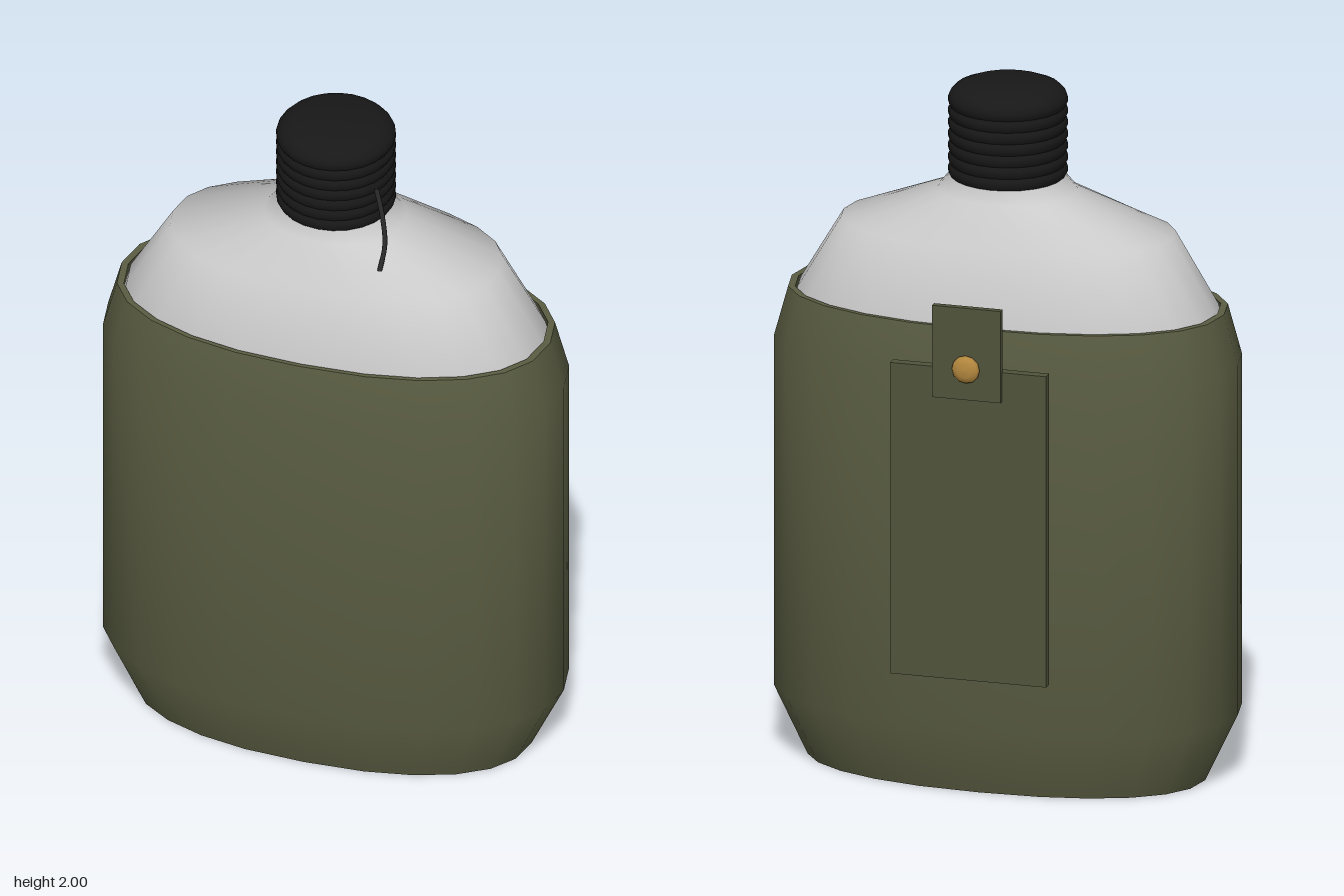
import * as THREE from 'three';
import { toCreasedNormals } from 'three/addons/utils/BufferGeometryUtils.js';

const SIDES = 24;
const CENTRE_Z = 0.035;

const mat = (color, side = THREE.FrontSide) => new THREE.MeshStandardMaterial({ color, side });

// Skin through stacked rounded ovals; each level is [y, half width, half depth, exponent]
function ovalLoft(levels) {
  const point = ([y, w, d, e = 0.88], j) => {
    const a = (j % SIDES) / SIDES * Math.PI * 2;
    const bend = (v) => Math.abs(v) < 1e-6 ? 0 : Math.sign(v) * Math.abs(v) ** e;
    return [w * bend(Math.cos(a)), y, d * bend(Math.sin(a))];
  };
  const pos = [];
  for (let i = 0; i < levels.length - 1; i++) {
    const lo = levels[i], hi = levels[i + 1];
    for (let j = 0; j < SIDES; j++) {
      const a = point(lo, j), b = point(hi, j), c = point(hi, j + 1), d = point(lo, j + 1);
      if (hi[1] > 0) pos.push(...a, ...b, ...c);
      if (lo[1] > 0) pos.push(...a, ...c, ...d);
    }
  }
  const g = new THREE.BufferGeometry();
  g.setAttribute('position', new THREE.Float32BufferAttribute(pos, 3));
  return toCreasedNormals(g, 0.85);
}

export function createModel() {
  const model = new THREE.Group();
  const add = (name, geometry, material, x = 0, y = 0, z = 0) => {
    const mesh = new THREE.Mesh(geometry, material);
    mesh.name = name;
    mesh.position.set(x, y, z);
    model.add(mesh);
    return mesh;
  };
  const cloth = mat(0x5a5d42, THREE.DoubleSide);
  const strap = mat(0x50543b);
  const black = mat(0x181818);

  // Fabric sleeve with a thin turned-in rim
  add('sleeve', ovalLoft([
    [0, 0, 0], [0, 0.577, 0.29], [0.2, 0.672, 0.356], [1.23, 0.672, 0.356],
    [1.375, 0.632, 0.33], [1.375, 0.612, 0.317], [1.28, 0.635, 0.33],
  ]), cloth, 0, 0, CENTRE_Z);

  // Metal flask, its shoulders narrowing to a round neck
  add('flask', ovalLoft([
    [1.27, 0.632, 0.328], [1.375, 0.605, 0.312], [1.585, 0.48, 0.258],
    [1.69, 0.2, 0.165, 0.95], [1.735, 0.162, 0.145, 1], [1.8, 0.145, 0.14, 1], [1.8, 0, 0],
  ]), mat(0xcccccc), 0, 0, CENTRE_Z);

  // Ribbed screw cap with a bevelled top
  const RIBS = 7, pitch = 0.034;
  const profile = [[0, 1.73], [0.155, 1.73]];
  for (let i = 0; i < RIBS; i++) {
    const y = 1.732 + i * pitch;
    profile.push([0.162, y], [0.168, y + pitch * 0.3], [0.168, y + pitch * 0.7]);
  }
  profile.push([0.163, 1.972], [0.148, 1.988], [0.118, 2], [0, 2]);
  const capGeometry = new THREE.LatheGeometry(profile.map(([r, y]) => new THREE.Vector2(r, y)), SIDES);
  add('cap', toCreasedNormals(capGeometry, 0.7), black, 0, 0, CENTRE_Z);

  // Retaining cord hanging from the cap
  const cord = new THREE.CatmullRomCurve3([
    [0.155, 1.87, 0.145], [0.178, 1.79, 0.16], [0.192, 1.71, 0.18], [0.187, 1.64, 0.212],
  ].map((p) => new THREE.Vector3(...p)));
  add('cord', new THREE.TubeGeometry(cord, 16, 0.007, 6), mat(0x2a2a2a, THREE.DoubleSide));

  // Flat panel, closing tab and brass stud on the back
  add('backPanel', new THREE.BoxGeometry(0.456, 0.915, 0.03), strap, 0, 0.8175, -0.339);
  add('tab', new THREE.BoxGeometry(0.2, 0.27, 0.02), strap, 0, 1.325, -0.36);
  const studProfile = [[0.034, 0], [0.041, 0.008], [0.036, 0.018], [0.02, 0.025], [0, 0.026]];
  const stud = add('stud', new THREE.LatheGeometry(studProfile.map(([r, y]) => new THREE.Vector2(r, y)), 12),
    mat(0xb5893f), 0, 1.282, -0.369);
  stud.rotation.x = -Math.PI / 2;

  return model;
}
